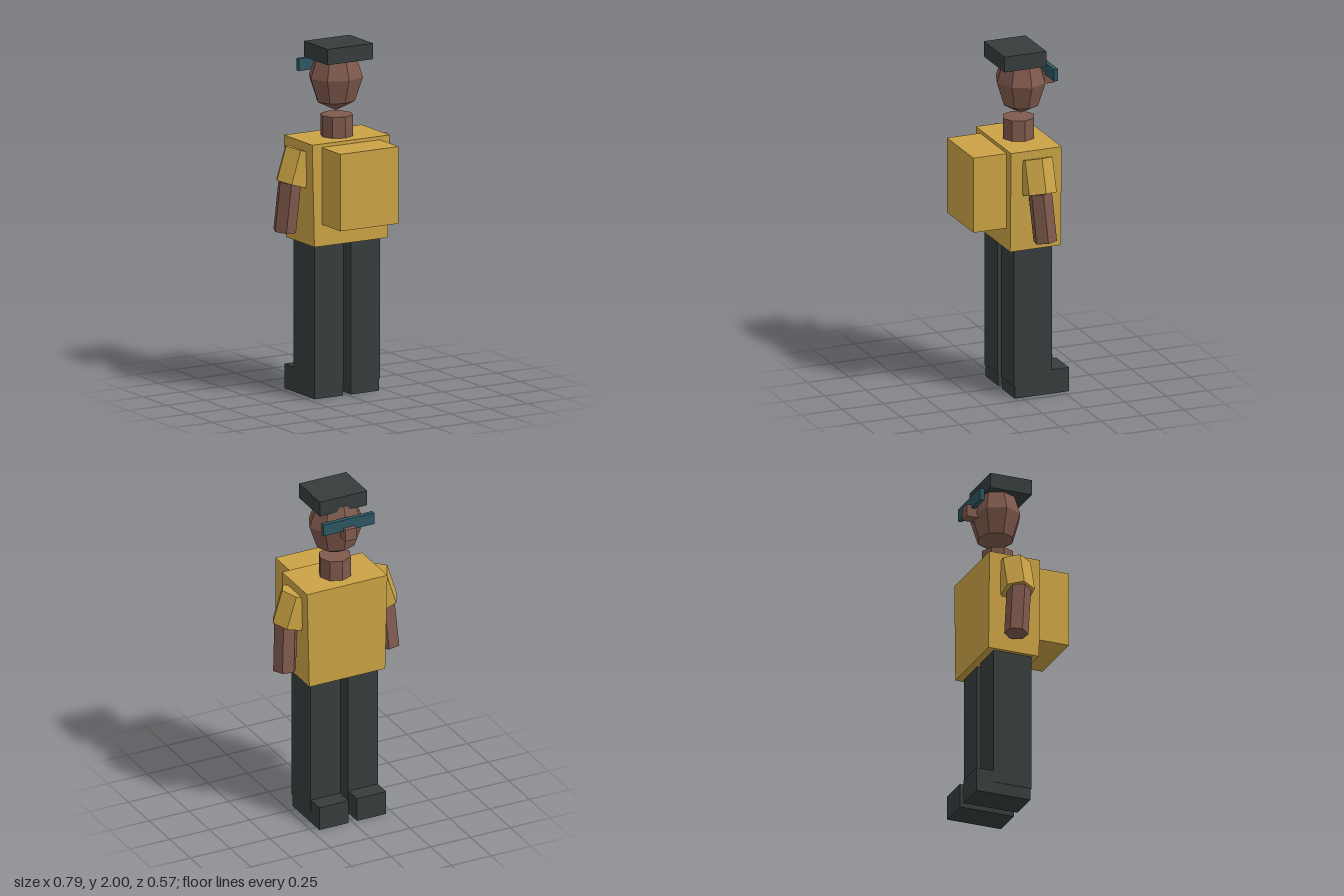
import * as THREE from 'three';

const mat = (name, color) => {
  const m = new THREE.MeshStandardMaterial({ color, flatShading: true });
  m.name = name;
  return m;
};

export function createModel() {
  const shirt = mat('mustard', 0xcba345);
  const skin = mat('brown skin', 0x805a4d);
  const dark = mat('charcoal', 0x363d3d);
  const teal = mat('teal', 0x2c5662);

  const model = new THREE.Group();
  model.name = 'figure';

  const add = (name, geometry, material) => {
    const mesh = new THREE.Mesh(geometry, material);
    mesh.name = name;
    model.add(mesh);
    return mesh;
  };

  // Box given by its limits on each axis
  const box = (name, material, [x0, x1], [y0, y1], [z0, z1]) => {
    const mesh = add(name, new THREE.BoxGeometry(x1 - x0, y1 - y0, z1 - z0), material);
    mesh.position.set((x0 + x1) / 2, (y0 + y1) / 2, (z0 + z1) / 2);
    return mesh;
  };

  // Six-sided prism running from a top centre to a bottom centre
  const prism = (name, material, top, bottom, radius, turn) => {
    const a = new THREE.Vector3(...top), b = new THREE.Vector3(...bottom);
    const axis = a.clone().sub(b);
    const geometry = new THREE.CylinderGeometry(radius, radius, axis.length(), 6, 1, false, turn);
    const mesh = add(name, geometry, material);
    mesh.position.copy(a).add(b).multiplyScalar(0.5);
    mesh.quaternion.setFromUnitVectors(new THREE.Vector3(0, 1, 0), axis.normalize());
    return mesh;
  };

  // Torso, slightly narrower at the waist, with the pack on its +z side
  const torso = box('torso', shirt, [-0.252, 0.252], [0.88, 1.465], [-0.222, 0.084]);
  const p = torso.geometry.attributes.position;
  for (let i = 0; i < p.count; i++) if (p.getY(i) < 0) p.setX(i, p.getX(i) * 0.945);
  box('backpack', shirt, [-0.19, 0.188], [1.005, 1.445], [0.06, 0.285]);

  // Neck and faceted head
  add('neck', new THREE.CylinderGeometry(0.093, 0.093, 0.165, 8), skin).position.set(-0.002, 1.503, -0.068);
  const head = add('head', new THREE.SphereGeometry(1, 8, 4), skin);
  head.scale.set(0.163, 0.195, 0.143);
  head.position.set(0, 1.8, -0.08);

  // Face details and cap
  box('nose', skin, [-0.036, 0.034], [1.768, 1.84], [-0.268, -0.2]);
  box('glasses', teal, [-0.16, 0.158], [1.82, 1.89], [-0.241, -0.215]);
  box('cap', dark, [-0.15, 0.147], [1.91, 2.0], [-0.174, 0.079]);

  // Arms and legs on both sides
  for (const [s, side] of [[1, 'left'], [-1, 'right']]) {
    prism(side + 'Sleeve', shirt, [s * 0.238, 1.411, -0.07], [s * 0.298, 1.221, -0.07], 0.096, Math.PI / 6);
    prism(side + 'Arm', skin, [s * 0.307, 1.235, -0.068], [s * 0.326, 0.95, -0.091], 0.068, s * 0.4);
    const spread = (a, b) => [s * a - 0.002, s * b - 0.002].sort((m, n) => m - n);
    box(side + 'Leg', dark, spread(0.024, 0.213), [0.07, 0.885], [-0.182, 0.048]);
    box(side + 'Shoe', dark, spread(0.027, 0.21), [0, 0.14], [-0.285, 0.043]);
  }

  return model;
}
